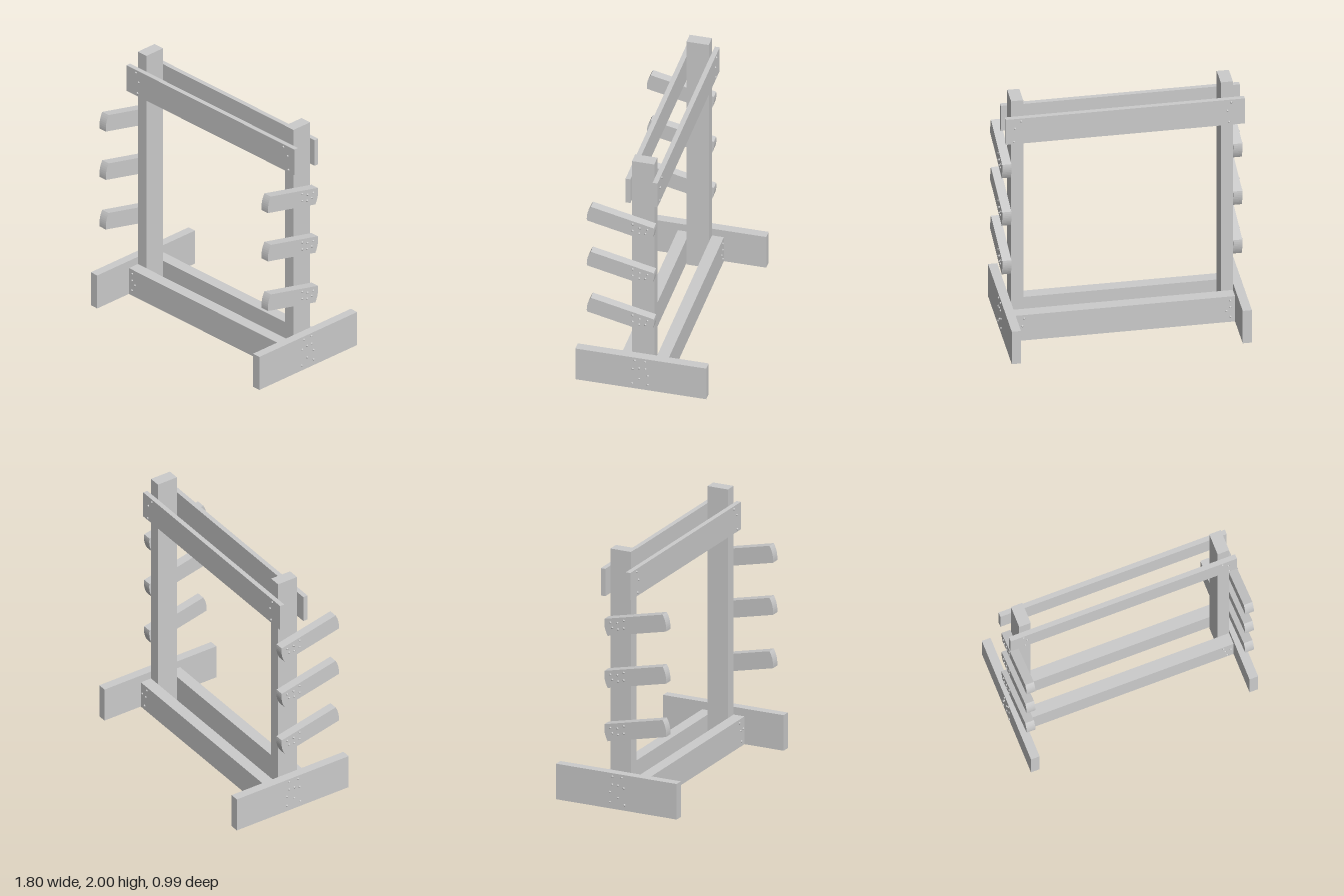
import * as THREE from 'three';

const wood = new THREE.MeshStandardMaterial({ color: 0xcccccc, flatShading: true });
const steel = new THREE.MeshStandardMaterial({ color: 0xcccccc });

// Plank given by its min and max on each axis
function plank(name, [x0, x1], [y0, y1], [z0, z1]) {
  const mesh = new THREE.Mesh(new THREE.BoxGeometry(x1 - x0, y1 - y0, z1 - z0), wood);
  mesh.position.set((x0 + x1) / 2, (y0 + y1) / 2, (z0 + z1) / 2);
  mesh.name = name;
  return mesh;
}

// Domed screw heads, as [u, y] pairs on a face pointing along +-x or +-z
const headGeometry = new THREE.SphereGeometry(0.009, 10, 4, 0, Math.PI * 2, 0, Math.PI / 2);
function screws(name, points, axis, side, depth) {
  const group = new THREE.Group();
  group.name = name;
  for (const [u, y] of points) {
    const head = new THREE.Mesh(headGeometry, steel);
    head.name = 'screwHead';
    if (axis === 'x') {
      head.position.set(side * depth, y, u);
      head.rotation.z = -side * Math.PI / 2;
    } else {
      head.position.set(u, y, side * depth);
      head.rotation.x = side * Math.PI / 2;
    }
    group.add(head);
  }
  return group;
}

// Sloping arm with bowed ends, drawn in (z, y) and extruded across x
function armGeometry() {
  const s = new THREE.Shape();
  s.moveTo(-0.098, 1.475);
  s.quadraticCurveTo(-0.107, 1.408, -0.072, 1.347);
  s.lineTo(0.408, 1.456);
  s.quadraticCurveTo(0.413, 1.525, 0.379, 1.583);
  s.closePath();
  const g = new THREE.ExtrudeGeometry(s, { depth: 0.068, bevelEnabled: false, curveSegments: 8 });
  g.rotateY(-Math.PI / 2); // shape x becomes z, depth runs to -x
  g.translate(0.034, 0, 0);
  return g;
}

export function createModel() {
  const model = new THREE.Group();
  model.name = 'storageRack';

  const armScrews = [[0.061, 1.485], [0.008, 1.459], [-0.05, 1.454],
    [0.061, 1.427], [0.013, 1.411], [-0.034, 1.416]];
  const footScrews = [[0.045, 0.265], [-0.032, 0.265], [0.061, 0.188], [0.013, 0.202],
    [-0.034, 0.202], [0.013, 0.106], [-0.053, 0.143], [0.066, 0.058], [-0.053, 0.064]];
  const topScrews = [[-0.804, 1.846], [-0.775, 1.777], [-0.788, 1.682],
    [0.756, 1.846], [0.801, 1.788], [0.809, 1.676]];
  const bottomScrews = [[-0.788, 0.196], [-0.788, 0.14], [-0.759, 0.111], [-0.79, 0.058],
    [0.743, 0.202], [0.756, 0.138], [0.801, 0.143], [0.772, 0.053]];

  // Uprights, feet and arms on each side
  const armShape = armGeometry();
  for (const side of [1, -1]) {
    const label = side > 0 ? 'left' : 'right';
    const span = (a, b) => (side > 0 ? [a, b] : [-b, -a]);
    model.add(plank(label + 'Post', span(0.733, 0.823), [0, 2], [-0.084, 0.084]));
    model.add(plank(label + 'Foot', span(0.823, 0.891), [0.015, 0.29], [-0.495, 0.495]));
    model.add(screws(label + 'FootScrews', footScrews, 'x', side, 0.891));

    [0, -0.403, -0.816].forEach((drop, i) => {
      const arm = new THREE.Group();
      arm.name = label + 'Arm' + (i + 1);
      const bar = new THREE.Mesh(armShape, wood);
      bar.name = 'armBar';
      bar.position.x = side * 0.857;
      arm.add(bar, screws('armScrews', armScrews, 'x', side, 0.891));
      arm.position.y = drop;
      model.add(arm);
    });
  }

  // Cross rails on the front and back of the posts
  for (const side of [1, -1]) {
    const label = side > 0 ? 'front' : 'back';
    const span = (a, b) => (side > 0 ? [a, b] : [-b, -a]);
    model.add(plank(label + 'TopRail', [-0.905, 0.87], [1.656, 1.868], span(0.084, 0.121)));
    model.add(screws(label + 'TopRailScrews', topScrews, 'z', side, 0.121));
    model.add(plank(label + 'BottomRail', [-0.823, 0.823], [0.015, 0.23], span(0.084, 0.174)));
    model.add(screws(label + 'BottomRailScrews', bottomScrews, 'z', side, 0.174));
  }

  return model;
}
